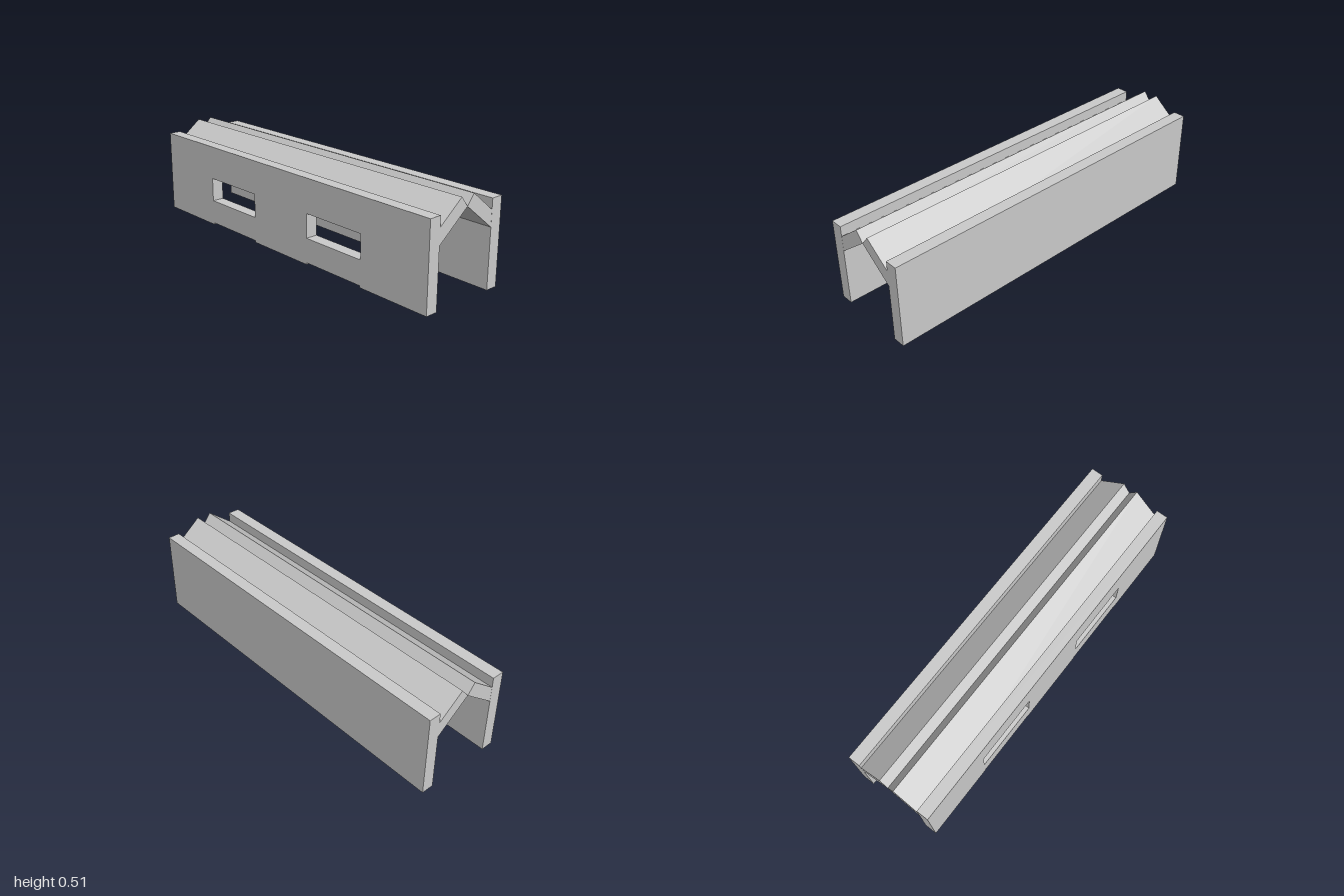
import * as THREE from 'three';

const material = new THREE.MeshStandardMaterial({ color: 0xcccccc, flatShading: true });
const WALL_TOP = 0.453, INNER = 0.178, OUTER = 0.244;

// Extrude a shape drawn in the xy plane, from z to z + depth
function extrude(points, depth, holes = []) {
  const toVectors = (list) => list.map(([x, y]) => new THREE.Vector2(x, y));
  const shape = new THREE.Shape(toVectors(points));
  for (const hole of holes) shape.holes.push(new THREE.Path(toVectors(hole)));
  return new THREE.ExtrudeGeometry(shape, { depth, bevelEnabled: false });
}

function addMesh(group, name, geometry) {
  const mesh = new THREE.Mesh(geometry, material);
  mesh.name = name;
  group.add(mesh);
  return mesh;
}

export function createModel() {
  const group = new THREE.Group();
  group.name = 'shelter';

  // Front wall: two windows, with the panels below them slightly raised off the ground
  const x0 = 0.207, x1 = 0.586, lift = 0.01;
  const outline = [
    [-1, 0], [-x1, 0], [-x1, lift], [-x0, lift], [-x0, 0],
    [x0, 0], [x0, lift], [x1, lift], [x1, 0], [1, 0],
    [1, WALL_TOP], [-1, WALL_TOP],
  ];
  const windows = [-x1, x0].map((x) => {
    const right = x + x1 - x0;
    return [[x, 0.141], [x, 0.27], [right, 0.27], [right, 0.141]];
  });
  addMesh(group, 'frontWall', extrude(outline, OUTER - INNER, windows)).position.z = INNER;

  // Solid back wall
  const back = addMesh(group, 'backWall', new THREE.BoxGeometry(2, WALL_TOP, OUTER - INNER));
  back.position.set(0, WALL_TOP / 2, -(INNER + OUTER) / 2);

  // Two tilted roof slabs meeting at the ridge, their eaves set into the walls
  const angle = Math.atan2(0.14, 0.178), length = 0.24, thickness = 0.067;
  for (const side of [1, -1]) {
    const geometry = new THREE.BoxGeometry(1.999, thickness, length);
    geometry.translate(0, thickness / 2, side * length / 2);
    const slab = addMesh(group, side > 0 ? 'frontRoofSlab' : 'backRoofSlab', geometry);
    slab.rotation.x = side * angle;
    slab.position.y = WALL_TOP;
  }
  return group;
}
